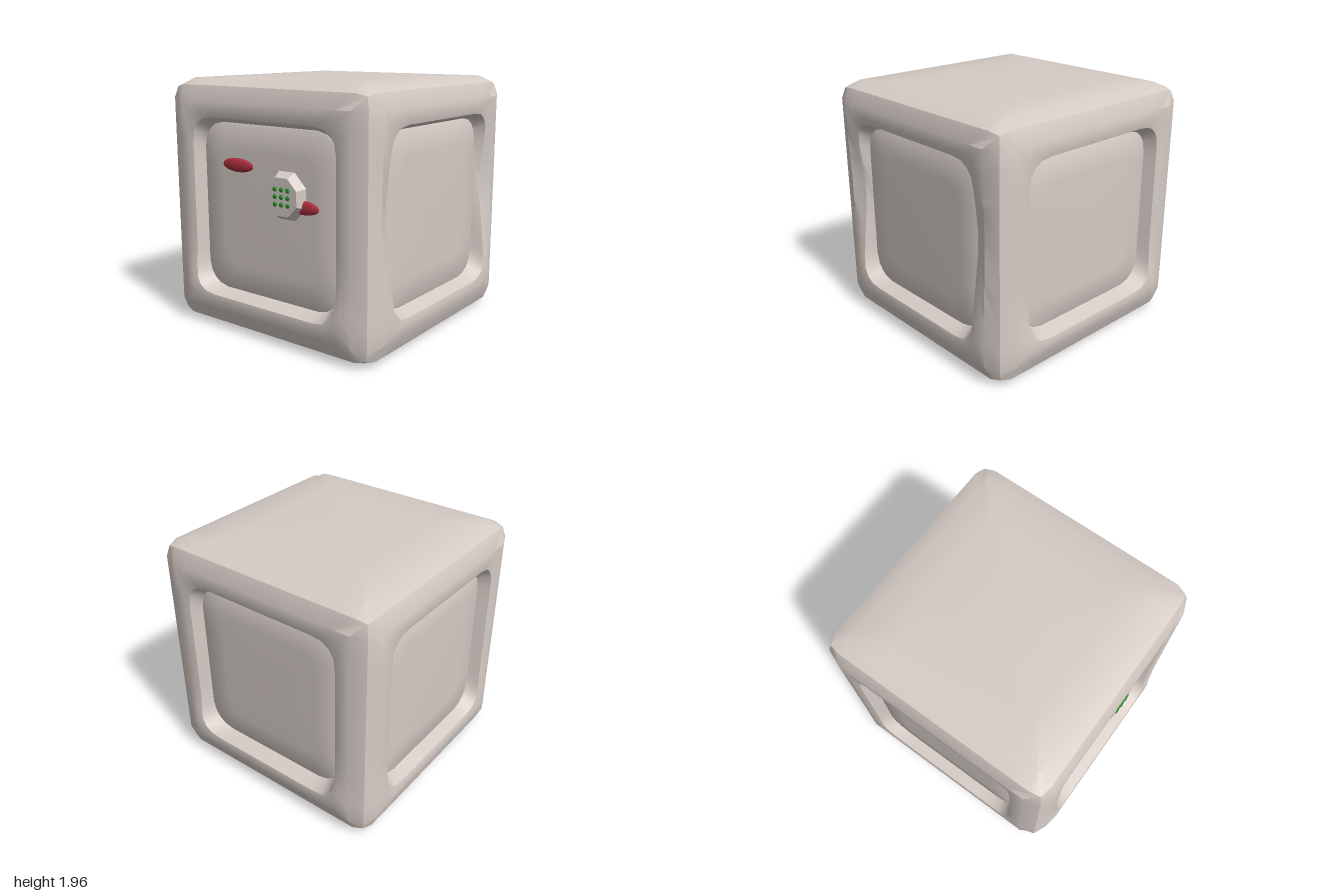
import * as THREE from 'three';
import { toCreasedNormals } from 'three/addons/utils/BufferGeometryUtils.js';

const HALF = 0.97, FLAT = 0.81, ROUND = HALF - FLAT;
const clamp = (v, k) => Math.max(-k, Math.min(k, v));
const bump = (v, at, width) => Math.exp(-(((v - at) / width) ** 2));

// Points around a unit square, counter-clockwise
const SIDE = [-1, -0.85, -0.7, -0.5, -0.25, 0, 0.25, 0.5, 0.7, 0.85];
const SQUARE = [
  ...SIDE.map((s) => [s, -1]), ...SIDE.map((s) => [1, s]),
  ...SIDE.map((s) => [-s, 1]), ...SIDE.map((s) => [-1, -s]),
];

// Square loop with rounded corners, at depth w
function roundedLoop(half, corner, w, offset = () => 0) {
  const k = 1 - corner;
  return SQUARE.map(([x, y]) => {
    let dx = x - clamp(x, k), dy = y - clamp(y, k);
    const len = Math.hypot(dx, dy);
    if (dx && dy && len > corner) { dx *= corner / len; dy *= corner / len; }
    const u = half * (clamp(x, k) + dx), v = half * (clamp(y, k) + dy);
    return [u, v, w + offset(v + HALF, u)];
  });
}

// Outermost loop: runs along the bevelled edges of the cube
function edgeLoop() {
  return SQUARE.map(([x, y]) => {
    const p = new THREE.Vector3(x, y, 1).multiplyScalar(HALF);
    const core = p.clone().clampScalar(-FLAT, FLAT);
    return p.sub(core).setLength(ROUND).add(core).toArray();
  });
}

// Skin a list of loops; optionally close the last one to a centre point
function skin(loops, centre) {
  const pos = [];
  const n = SQUARE.length;
  loops.forEach((a, l) => {
    const b = loops[l + 1];
    for (let i = 0; i < n; i++) {
      const j = (i + 1) % n;
      if (b) pos.push(...a[i], ...a[j], ...b[j], ...a[i], ...b[j], ...b[i]);
      else if (centre) pos.push(...a[i], ...a[j], ...centre);
    }
  });
  const g = new THREE.BufferGeometry();
  g.setAttribute('position', new THREE.Float32BufferAttribute(pos, 3));
  return toCreasedNormals(g, 0.6);
}

export function createModel() {
  const model = new THREE.Group();
  model.name = 'cube';
  const paint = (color) => new THREE.MeshStandardMaterial({ color, roughness: 0.8 });
  const shell = paint(0xd6ccc6), red = paint(0xb03040), green = paint(0x1f8a1f);

  const add = (parent, name, geometry, material) => {
    const mesh = new THREE.Mesh(geometry, material);
    mesh.name = name;
    parent.add(mesh);
    return mesh;
  };

  // Four sides: a swelling frame around a recessed panel
  const lowSwell = (amount) => (y) => amount * bump(y, 0.31, 0.16);
  const frontSwell = (y) => 0.02 * bump(y, 0.33, 0.2) - 0.055 * bump(y, 1.1, 0.35);
  const sides = [
    ['front', 0, frontSwell],
    ['left', Math.PI / 2, lowSwell(0.03)],
    ['back', Math.PI, lowSwell(0.01)],
    ['right', -Math.PI / 2, lowSwell(0.03)],
  ];
  for (const [name, angle, swell] of sides) {
    const side = new THREE.Group();
    side.name = name + 'Side';
    side.position.y = HALF;
    side.rotation.y = angle;
    model.add(side);
    add(side, name + 'Frame', skin([
      edgeLoop(),
      roundedLoop(FLAT, 0.001, HALF, (y) => 0.3 * swell(y)),
      roundedLoop(0.73, 0.15, HALF, swell),
      roundedLoop(0.69, 0.25, 0.96, swell),
      roundedLoop(0.65, 0.3, 0.865),
    ]), shell);
    add(side, name + 'Panel', skin([
      roundedLoop(0.655, 0.3, 0.865),
      roundedLoop(0.64, 0.3, 0.875),
      roundedLoop(0.45, 0.3, 0.88),
      roundedLoop(0.2, 0.3, 0.882),
    ], [0, 0, 0.882]), shell);
  }

  // Slightly domed top and flat base
  for (const [name, angle, dome] of [['top', -Math.PI / 2, 0.018], ['base', Math.PI / 2, 0]]) {
    const face = add(model, name, skin([
      edgeLoop(),
      roundedLoop(FLAT, 0.001, HALF),
      roundedLoop(0.55, 0.2, HALF + dome * 0.5),
      roundedLoop(0.28, 0.3, HALF + dome * 0.9),
    ], [0, 0, HALF + dome]), shell);
    face.position.y = HALF;
    face.rotation.x = angle;
  }

  // Octagonal control on the -x panel, with a grid of small lamps
  const control = new THREE.Group();
  control.name = 'control';
  control.position.set(-0.88, 1.135, 0.19);
  control.rotation.y = -Math.PI / 2;
  model.add(control);
  const housing = new THREE.CylinderGeometry(0.15, 0.2, 0.08, 8)
    .rotateY(Math.PI / 8).rotateX(Math.PI / 2).translate(0, 0, 0.025);
  add(control, 'controlHousing', toCreasedNormals(housing, 0.4), shell);
  const lamp = new THREE.SphereGeometry(0.018, 10, 8).scale(1, 1, 0.6);
  for (let i = -1; i <= 1; i++)
    for (let j = -1; j <= 1; j++)
      add(control, 'lamp', lamp, green).position.set(i * 0.06, j * 0.055, 0.067);

  // Red oval buttons on either side of the control
  const button = new THREE.SphereGeometry(1, 20, 12).scale(0.025, 0.053, 0.155);
  add(model, 'upperButton', button, red).position.set(-0.885, 1.31, -0.29);
  add(model, 'lowerButton', button, red).position.set(-0.885, 1.07, 0.33);

  return model;
}
